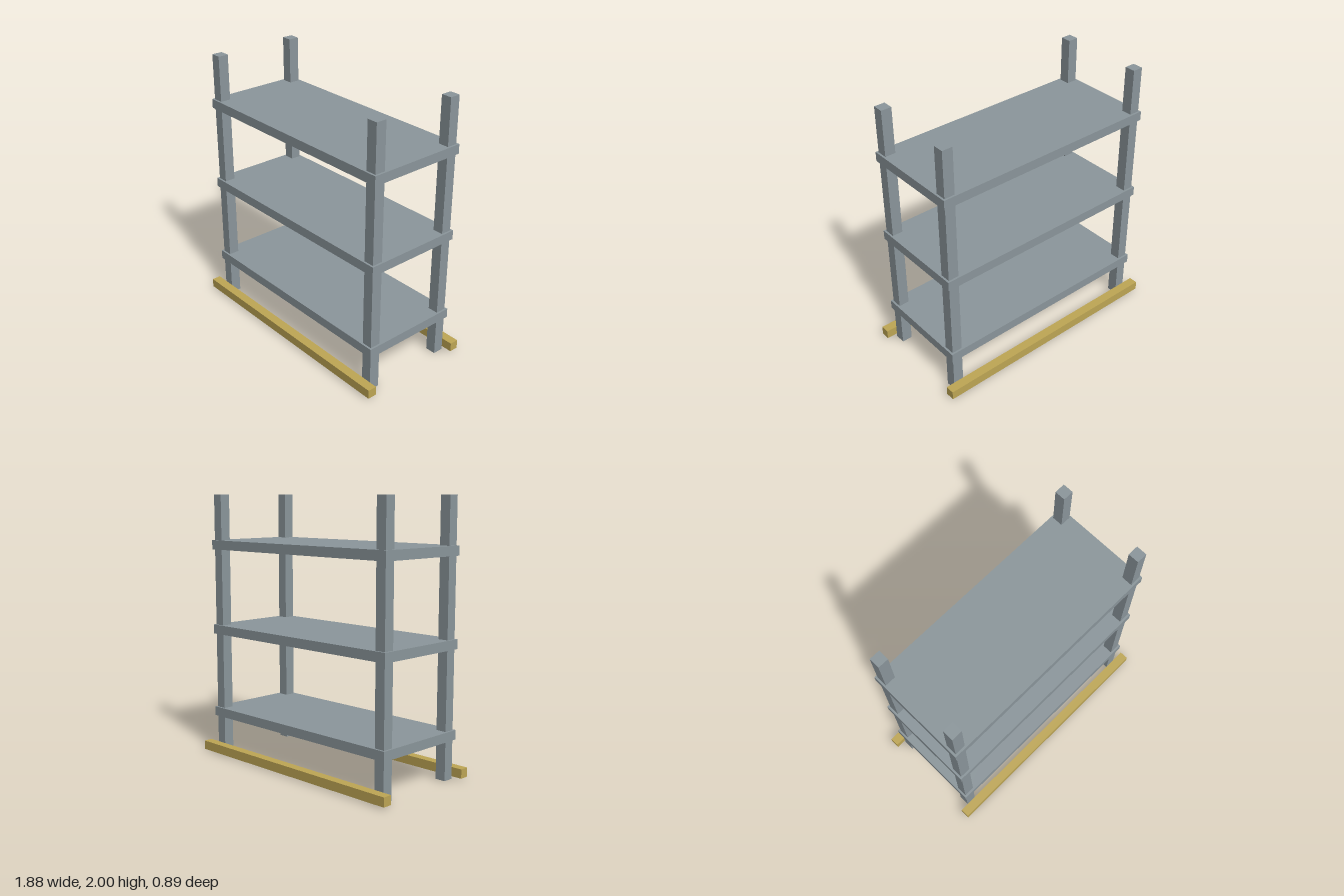
import * as THREE from 'three';

export function createModel() {
  const group = new THREE.Group();
  const steel = new THREE.MeshStandardMaterial({ color: 0x8c979c });
  steel.name = 'grey steel';
  const yellow = new THREE.MeshStandardMaterial({ color: 0xbfa755 });
  yellow.name = 'safety yellow';

  const addBox = (name, material, [w, h, d], [x, y, z]) => {
    const mesh = new THREE.Mesh(new THREE.BoxGeometry(w, h, d), material);
    mesh.name = name;
    mesh.position.set(x, y, z);
    group.add(mesh);
  };

  // Four corner posts
  for (const x of [-0.825, 0.825]) {
    for (const z of [-0.325, 0.325]) {
      const name = (z > 0 ? 'front' : 'back') + (x > 0 ? 'Left' : 'Right') + 'Post';
      addBox(name, steel, [0.08, 2, 0.08], [x, 1, z]);
    }
  }

  // Three shelves, slightly wider than the posts
  ['lowerShelf', 'middleShelf', 'upperShelf'].forEach((name, i) => {
    addBox(name, steel, [1.76, 0.07, 0.76], [0, 0.323 + i * 0.649, 0]);
  });

  // Guard rails near the floor, just outside the posts
  for (const side of [-1, 1]) {
    addBox(side > 0 ? 'frontGuardRail' : 'backGuardRail', yellow,
      [1.88, 0.068, 0.068], [0, 0.048, side * 0.412]);
  }

  return group;
}
